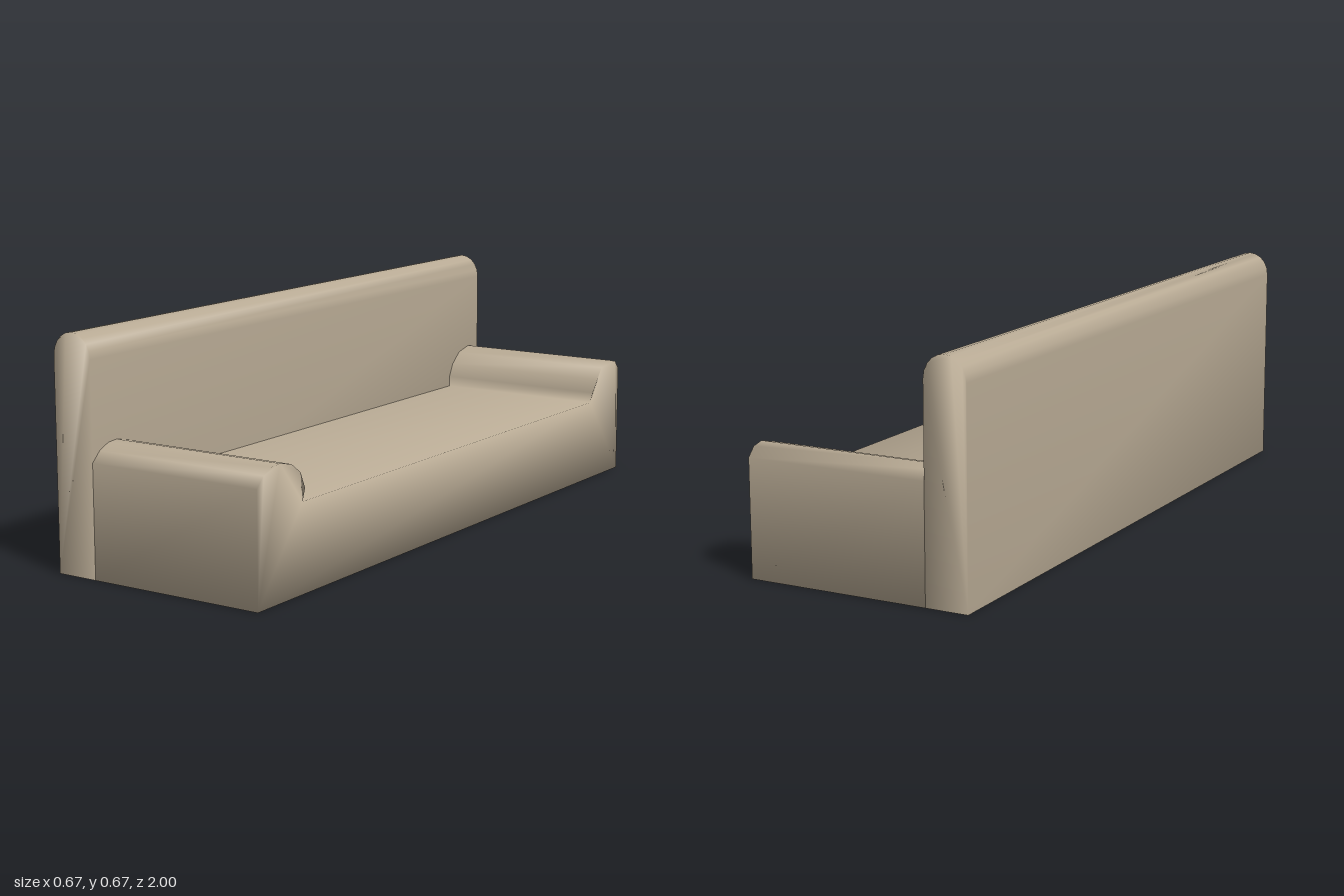
import * as THREE from 'three';
import { mergeVertices } from 'three/addons/utils/BufferGeometryUtils.js';

const upholstery = new THREE.MeshStandardMaterial({ color: 0xb8aa94 });
upholstery.name = 'beige upholstery';

const FRONT = 0.333, BACK = -0.333, JOIN = -0.207, SEAT_Y = 0.247;

// Weld all corners so the shading flows softly over the whole part
function weld(geometry) {
  geometry.deleteAttribute('uv');
  geometry.deleteAttribute('normal');
  geometry.clearGroups();
  const welded = mergeVertices(geometry, 1e-4);
  welded.computeVertexNormals();
  return welded;
}

function extrude(points, depth) {
  const shape = new THREE.Shape(points.map(([x, y]) => new THREE.Vector2(x, y)));
  return new THREE.ExtrudeGeometry(shape, { depth, bevelEnabled: false });
}

// Seat and both armrests: one cross-section (z, y) swept from the backrest forward
function seatAndArms() {
  const section = [
    [1, 0], [-1, 0],
    [-1, 0.335], [-0.975, 0.361], [-0.94, 0.369], [-0.88, 0.354], [-0.84, 0.32], [-0.82, 0.28],
    [-0.82, SEAT_Y], [0.79, SEAT_Y],
    [0.79, 0.285], [0.81, 0.33], [0.85, 0.359], [0.9, 0.37], [0.935, 0.367], [0.97, 0.351], [1, 0.322],
  ];
  const g = extrude(section.map(([z, y]) => [-z, y]), FRONT - JOIN);
  g.rotateY(Math.PI / 2);
  g.translate(JOIN, 0, 0);

  // Leave out the hidden end against the backrest, and ease the front seat edge
  const p = g.attributes.position, kept = [];
  for (let i = 0; i < p.count; i += 3) {
    const corners = [0, 1, 2].map(k => new THREE.Vector3().fromBufferAttribute(p, i + k));
    if (corners.every(v => Math.abs(v.x - JOIN) < 1e-4)) continue;
    for (const v of corners) {
      if (v.x > 0 && Math.abs(v.y - SEAT_Y) < 1e-4) v.x -= 0.008;
      kept.push(v);
    }
  }
  return weld(new THREE.BufferGeometry().setFromPoints(kept));
}

// Backrest: upright slab with a rounded top, running the full length
function backrest() {
  const cx = (BACK + JOIN) / 2, r = (JOIN - BACK) / 2, n = 10;
  const profile = [[BACK, 0], [JOIN, 0]];
  for (let i = 0; i <= n; i++) {
    const a = Math.PI * i / n;
    profile.push([cx + r * Math.cos(a), 0.6 + 0.068 * Math.sin(a)]);
  }
  const g = extrude(profile, 2);
  g.translate(0, 0, -1);
  return weld(g);
}

export function createModel() {
  const sofa = new THREE.Group();
  sofa.name = 'sofa';
  for (const [name, geometry] of [['seatAndArmrests', seatAndArms()], ['backrest', backrest()]]) {
    const mesh = new THREE.Mesh(geometry, upholstery);
    mesh.name = name;
    sofa.add(mesh);
  }
  return sofa;
}
